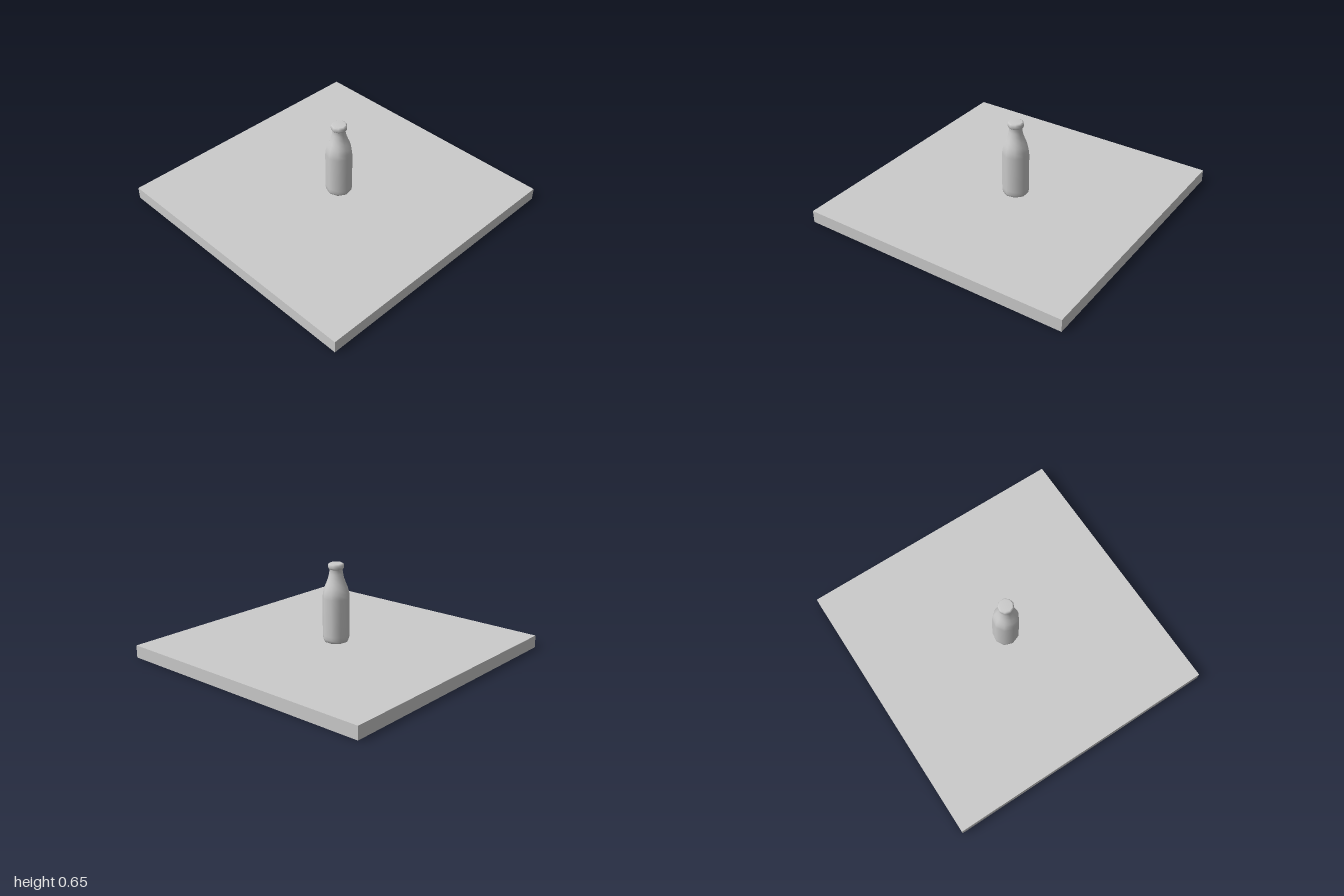
import * as THREE from 'three';

export function createModel() {
  const model = new THREE.Group();
  const material = new THREE.MeshStandardMaterial({ color: 0xcccccc });

  // Square slab the bottle stands on
  const slabHeight = 0.09;
  const slab = new THREE.Mesh(new THREE.BoxGeometry(2, slabHeight, 2), material);
  slab.name = 'slab';
  slab.position.y = slabHeight / 2;
  model.add(slab);

  // Bottle profile as [radius, height above the slab]
  const profile = [
    [0, 0], [0.08, 0], [0.089, 0.006], [0.094, 0.024], // rounded foot
    [0.096, 0.05], [0.096, 0.32], // straight body
    [0.092, 0.355], [0.083, 0.39], [0.068, 0.425], // shoulder
    [0.056, 0.46], [0.049, 0.492], [0.045, 0.521], // neck
    [0.053, 0.526], [0.057, 0.536], [0.057, 0.55], // rolled lip
    [0.053, 0.56], [0.046, 0.564], [0, 0.564], // closed top
  ].map(([r, y]) => new THREE.Vector2(r, y));

  // Nine-sided turned body, one corner pointing to -x
  const bottle = new THREE.Mesh(new THREE.LatheGeometry(profile, 9, -Math.PI / 2), material);
  bottle.name = 'bottle';
  bottle.position.set(0.015, slabHeight, 0.016);
  model.add(bottle);

  return model;
}
